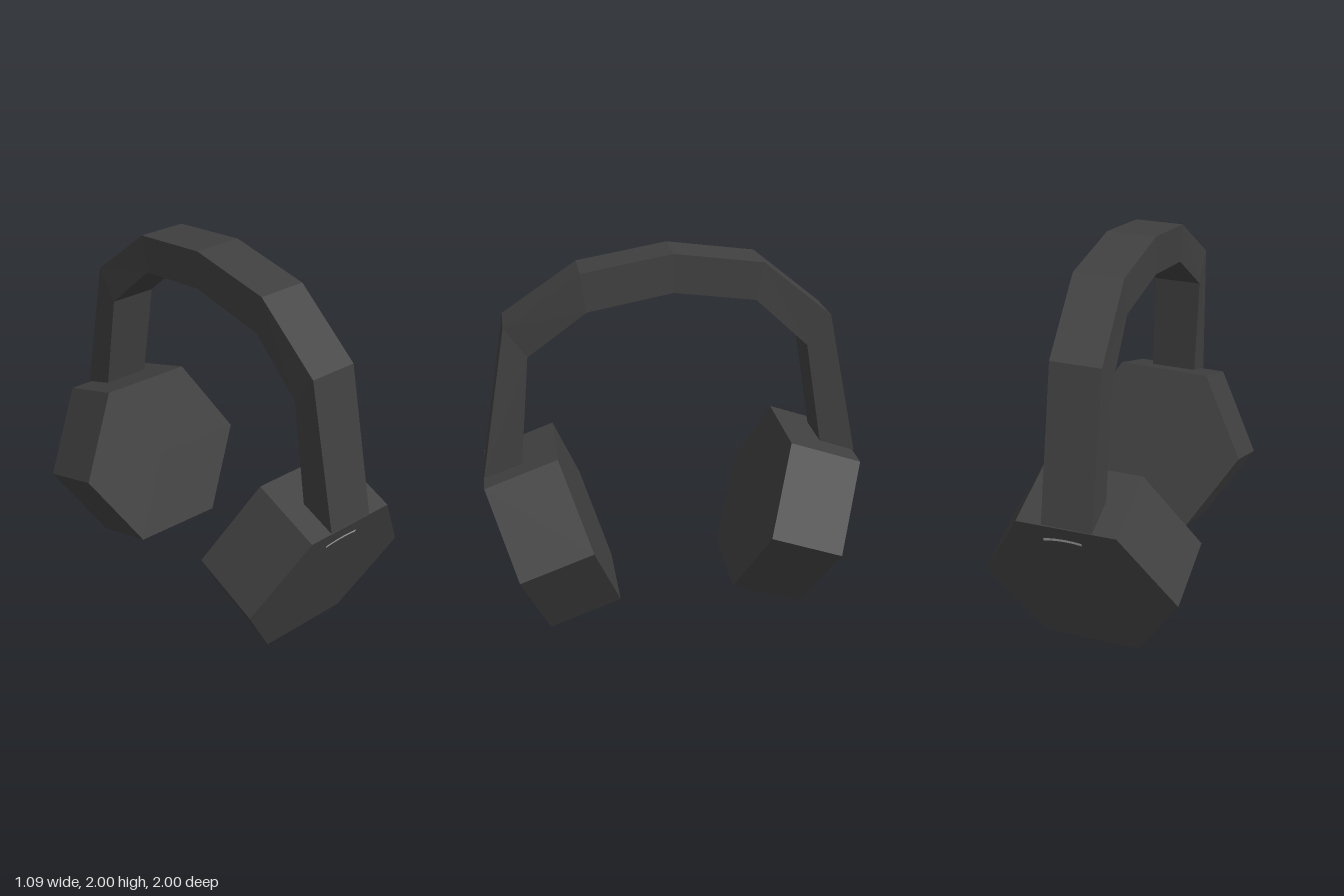
import * as THREE from 'three';

const charcoal = new THREE.MeshStandardMaterial({ color: 0x404040 });
charcoal.name = 'charcoal';
const silver = new THREE.MeshStandardMaterial({ color: 0xb4b4b4 });
silver.name = 'silver';

const RADIUS = 0.517, DEPTH = 0.405;

function part(name, geometry, material) {
  const mesh = new THREE.Mesh(geometry, material);
  mesh.name = name;
  return mesh;
}

// Splits shared corners so that every face is flat
function faceted(geometry) {
  const flat = geometry.index ? geometry.toNonIndexed() : geometry;
  flat.computeVertexNormals();
  return flat;
}

// Hexagonal ear cup facing +z, with a thin curved accent on its outer face
function earCup(name, tilt) {
  const shell = new THREE.CylinderGeometry(RADIUS, RADIUS, DEPTH, 6);
  shell.rotateY(Math.PI / 2).rotateX(Math.PI / 2).rotateZ(0.014);

  const arc = new THREE.Shape();
  arc.moveTo(-0.1, -0.012);
  arc.quadraticCurveTo(0, 0.018, 0.1, 0);
  arc.lineTo(0.1, 0.018);
  arc.quadraticCurveTo(0, 0.034, -0.1, 0.006);
  arc.closePath();
  const accent = part('cupAccent', new THREE.ShapeGeometry(arc, 6), silver);
  accent.position.set(-0.035, 0.348, DEPTH / 2 + 0.002);

  const tilted = new THREE.Group();
  tilted.rotation.x = tilt;
  tilted.add(part('cupShell', faceted(shell), charcoal), accent);
  const cup = new THREE.Group();
  cup.name = name;
  cup.add(tilted);
  return cup;
}

// Angular headband swept through rectangular cross-sections
function headband() {
  // [centre x, outer z, outer y, inner z, inner y]
  const stations = [
    [0.017, 1.0, 0.85, 0.8, 0.92],
    [-0.018, 0.86, 1.65, 0.745, 1.49],
    [0.006, 0.47, 1.92, 0.44, 1.72],
    [-0.002, 0, 2.0, 0, 1.8],
    [-0.001, -0.46, 1.94, -0.425, 1.745],
    [-0.026, -0.83, 1.64, -0.71, 1.48],
    [-0.03, -1.0, 0.86, -0.805, 0.93],
  ];
  const half = 0.13;
  const points = [], index = [];
  stations.forEach(([x, oz, oy, iz, iy], i) => {
    points.push(x + half, oy, oz, x - half, oy, oz, x - half, iy, iz, x + half, iy, iz);
    if (i === stations.length - 1) return;
    for (let j = 0; j < 4; j++) {
      const a = i * 4 + j, b = i * 4 + (j + 1) % 4;
      index.push(a, a + 4, b, a + 4, b + 4, b);
    }
  });
  const e = (stations.length - 1) * 4;
  index.push(0, 1, 2, 0, 2, 3, e, e + 2, e + 1, e, e + 3, e + 2);
  const geometry = new THREE.BufferGeometry();
  geometry.setAttribute('position', new THREE.Float32BufferAttribute(points, 3));
  geometry.setIndex(index);
  return part('headband', faceted(geometry), charcoal);
}

export function createModel() {
  const model = new THREE.Group();
  model.name = 'headphones';

  const front = earCup('frontEarCup', 0.351);
  front.position.set(0.025, 0.495, 0.655);

  const back = earCup('backEarCup', 0.334);
  back.position.set(-0.03, 0.497, -0.66);
  back.rotation.y = Math.PI;

  model.add(front, back, headband());
  return model;
}
